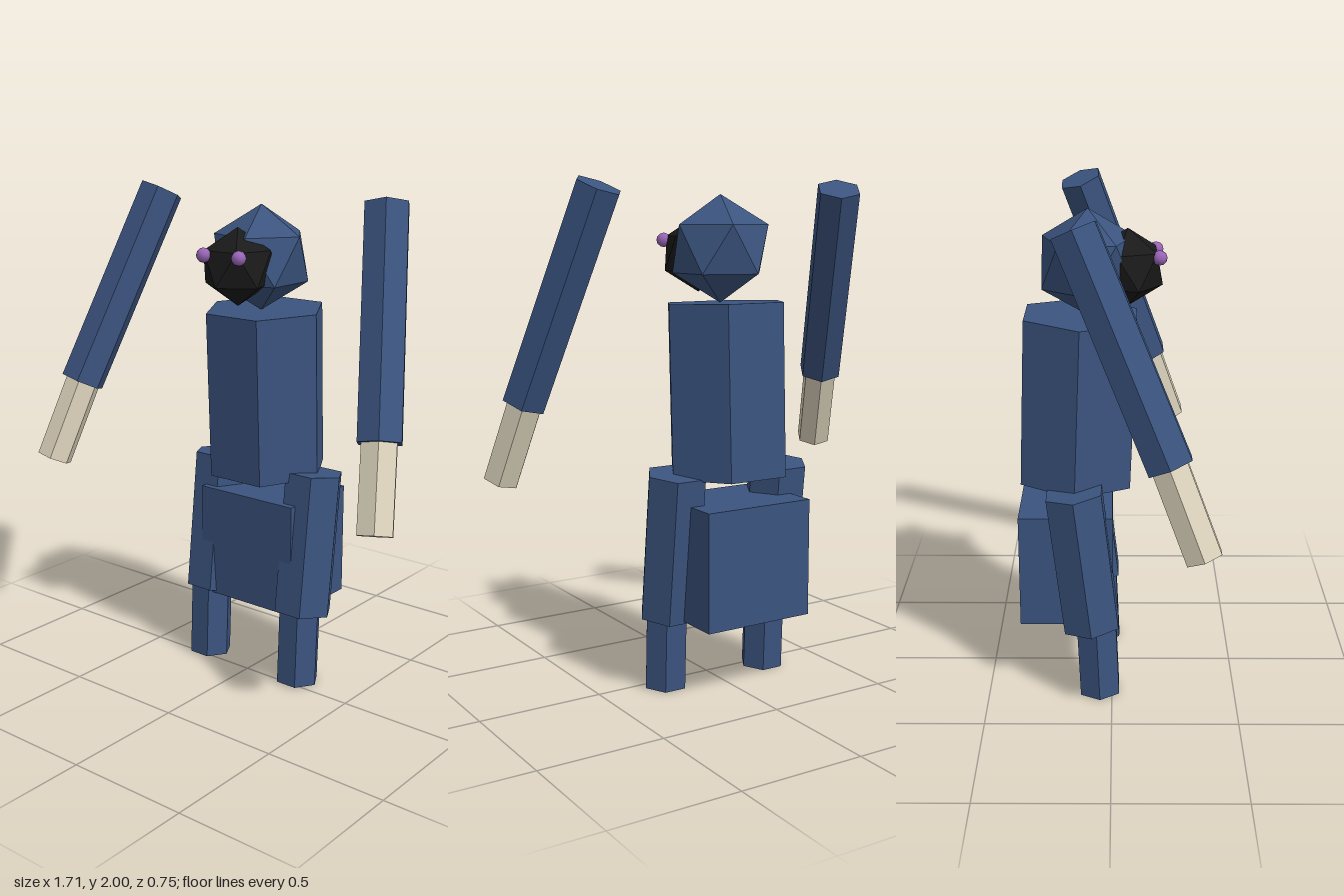
import * as THREE from 'three';

const material = (name, color) => {
  const m = new THREE.MeshStandardMaterial({ color });
  m.name = name;
  return m;
};

export function createModel() {
  const model = new THREE.Group();
  model.name = 'figure';
  const navy = material('navy', 0x3b547f);
  const cream = material('cream', 0xded5be);
  const black = material('black', 0x1a1a1a);
  const purple = material('purple', 0x9a66b8);

  const add = (name, geometry, mat, position) => {
    const mesh = new THREE.Mesh(geometry, mat);
    mesh.name = name;
    if (position) mesh.position.set(...position);
    model.add(mesh);
    return mesh;
  };

  // Faceted six-sided prism between two points, corners pointing sideways
  const hexPrism = (name, mat, radius, top, bottom) => {
    const a = new THREE.Vector3(...top), b = new THREE.Vector3(...bottom);
    const axis = a.clone().sub(b);
    const geometry = new THREE.CylinderGeometry(radius, radius, axis.length(), 6)
      .rotateY(Math.PI / 6).toNonIndexed();
    geometry.computeVertexNormals();
    const mesh = add(name, geometry, mat);
    mesh.position.copy(a).add(b).multiplyScalar(0.5);
    mesh.quaternion.setFromUnitVectors(new THREE.Vector3(0, 1, 0), axis.normalize());
    return mesh;
  };

  // Icosahedron standing on a corner
  const uprightIcosahedron = (radius, turn) =>
    new THREE.IcosahedronGeometry(radius, 0)
      .rotateZ(-Math.atan(2 / (1 + Math.sqrt(5))))
      .rotateY(turn);

  // Head, face and eyes
  add('head', uprightIcosahedron(0.207, 0), navy, [-0.005, 1.735, -0.092]);
  add('face', uprightIcosahedron(0.151, Math.PI / 2), black, [0, 1.715, 0.06]);
  add('rightEye', new THREE.IcosahedronGeometry(0.029, 1), purple, [-0.07, 1.766, 0.18]);
  add('leftEye', new THREE.IcosahedronGeometry(0.029, 1), purple, [0.093, 1.766, 0.17]);

  // Torso and hips
  hexPrism('torso', navy, 0.25, [-0.007, 1.531, -0.12], [-0.007, 0.862, -0.145]);
  add('hips', new THREE.BoxGeometry(0.465, 0.465, 0.37), navy, [-0.01, 0.538, -0.183]);

  // Detached arms with pale hands
  const arms = [
    ['right', [-0.555, 1.967, -0.125], [-0.725, 1.185, 0.205], [-0.785, 0.868, 0.325]],
    ['left', [0.54, 1.967, -0.135], [0.72, 1.16, 0.15], [0.778, 0.853, 0.255]],
  ];
  for (const [side, shoulder, wrist, tip] of arms) {
    hexPrism(side + 'Arm', navy, 0.092, shoulder, wrist);
    const inner = wrist.map((v, i) => v + (shoulder[i] - v) * 0.08);
    hexPrism(side + 'Hand', cream, 0.074, inner, tip);
  }

  // Legs
  for (const [side, x] of [['right', -0.244], ['left', 0.225]]) {
    hexPrism(side + 'Thigh', navy, 0.124, [x, 0.885, -0.147], [x, 0.308, -0.08]);
    hexPrism(side + 'Shin', navy, 0.09, [x, 0.36, -0.063], [x, 0.008, -0.048]);
  }

  return model;
}
